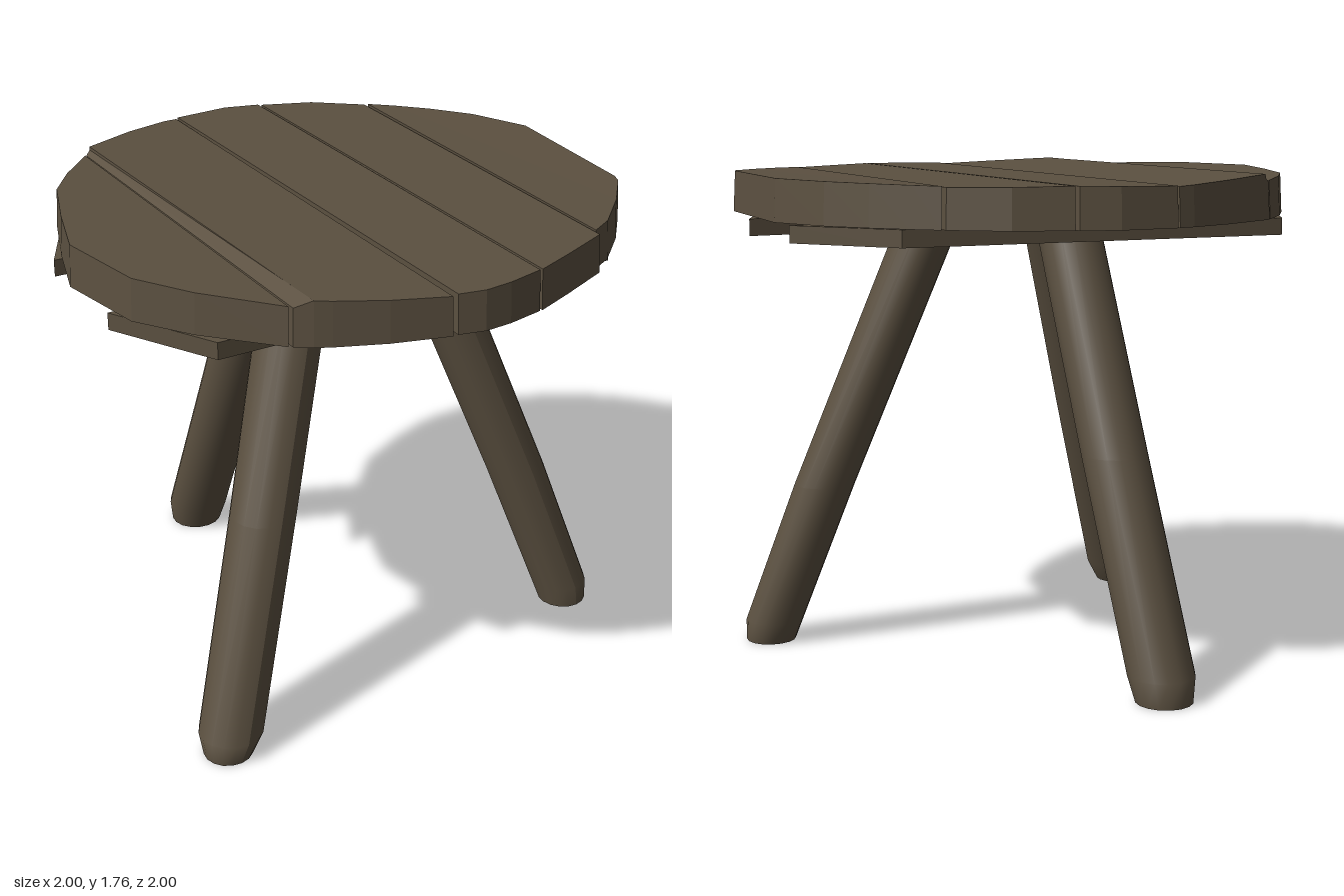
import * as THREE from 'three';

const wood = new THREE.MeshStandardMaterial({ color: 0x5b5040, flatShading: true });
wood.name = 'dark wood';
const roundWood = new THREE.MeshStandardMaterial({ color: 0x5b5040 });
roundWood.name = 'dark wood round';

// Flat board from an outline of [x, z] points
function board(name, outline, bottom, top) {
  const shape = new THREE.Shape(outline.map(([x, z]) => new THREE.Vector2(x, -z)));
  const geo = new THREE.ExtrudeGeometry(shape, { depth: top - bottom, bevelEnabled: false });
  geo.rotateX(-Math.PI / 2);
  geo.translate(0, bottom, 0);
  const mesh = new THREE.Mesh(geo, wood);
  mesh.name = name;
  return mesh;
}

// Table plank: the top slopes from y0 to y1 across its width and is slightly worn in at the rim
function plank(name, outline, [u0, u1], [y0, y1]) {
  const mesh = board(name, outline, 1.61, 1.75);
  const p = mesh.geometry.attributes.position;
  for (let i = 0; i < p.count; i++) {
    if (p.getY(i) < 1.7) continue;
    const u = p.getX(i) + 0.09 * p.getZ(i);
    const t = THREE.MathUtils.clamp((u - u0) / (u1 - u0), 0, 1);
    p.setXYZ(i, p.getX(i) * 0.992, THREE.MathUtils.lerp(y0, y1, t), p.getZ(i) * 0.992);
  }
  mesh.geometry.computeVertexNormals();
  return mesh;
}

// Round leg through four level rings [y, x, z, radius], foot first
function leg(name, rings) {
  const geo = new THREE.CylinderGeometry(1, 1, 1, 16, 3);
  const p = geo.attributes.position;
  for (let i = 0; i < p.count; i++) {
    const [y, x, z, r] = rings[Math.round((p.getY(i) + 0.5) * 3)];
    p.setXYZ(i, x + p.getX(i) * r, y, z + p.getZ(i) * r);
  }
  geo.computeVertexNormals();
  const mesh = new THREE.Mesh(geo, roundWood);
  mesh.name = name;
  return mesh;
}

export function createModel() {
  const model = new THREE.Group();
  model.name = 'roundTable';

  // Round top made of five rough planks
  const top = new THREE.Group();
  top.name = 'tableTop';
  top.add(
    plank('rightOuterPlank', [
      [-0.53, -0.81], [-0.68, -0.67], [-0.79, -0.54], [-0.9, -0.3], [-1, -0.05],
      [-0.97, 0.3], [-0.86, 0.5], [-0.67, 0.74],
    ], [-1, -0.6], [1.757, 1.742]),
    plank('plankWornEdge', [
      [-0.52, -0.82], [-0.5, -0.83], [-0.61, 0.79], [-0.66, 0.75],
    ], [-0.594, -0.56], [1.737, 1.765]),
    plank('rightInnerPlank', [
      [-0.5, -0.83], [-0.28, -0.92], [-0.1, -0.97], [-0.04, -0.975],
      [-0.21, 0.97], [-0.4, 0.9], [-0.56, 0.82], [-0.61, 0.79],
    ], [-0.56, -0.12], [1.765, 1.742]),
    plank('middlePlank', [
      [-0.03, -0.98], [0.18, -0.97], [0.305, -0.92], [0.135, 0.98],
      [0, 0.998], [-0.1, 0.998], [-0.19, 0.97],
    ], [-0.12, 0.22], [1.745, 1.75]),
    plank('leftInnerPlank', [
      [0.315, -0.91], [0.5, -0.83], [0.66, -0.69], [0.5, 0.86], [0.3, 0.93], [0.145, 0.98],
    ], [0.22, 0.6], [1.75, 1.745]),
    plank('leftOuterPlank', [
      [0.67, -0.68], [0.74, -0.6], [0.83, -0.48], [0.92, -0.33], [0.995, -0.1],
      [0.9, 0.5], [0.88, 0.54], [0.75, 0.67], [0.6, 0.79], [0.51, 0.83],
    ], [0.6, 1], [1.748, 1.757]),
  );
  model.add(top);

  // Cross boards beneath the planks, ends cut along the rim
  model.add(
    board('backCrossBoard', [[-0.93, -0.3], [0.95, -0.12], [0.71, -0.48], [-0.7, -0.66]], 1.54, 1.6),
    board('frontCrossBoard', [[-0.99, 0.18], [0.95, 0.23], [0.71, 0.68], [-0.82, 0.57]], 1.54, 1.6),
  );

  // Three splayed round legs with worn feet
  model.add(
    leg('frontRightLeg', [
      [0, -0.805, 0.535, 0.087], [0.08, -0.785, 0.525, 0.115],
      [0.8, -0.535, 0.37, 0.117], [1.61, -0.265, 0.2, 0.12]]),
    leg('frontLeftLeg', [
      [0, 0.81, 0.455, 0.092], [0.08, 0.8, 0.44, 0.107],
      [0.6, 0.63, 0.34, 0.112], [1.61, 0.265, 0.15, 0.115]]),
    leg('backLeg', [
      [0, -0.055, -0.9, 0.1], [0.09, -0.055, -0.88, 0.118],
      [0.8, -0.055, -0.58, 0.118], [1.61, -0.055, -0.25, 0.116]]),
  );
  return model;
}
